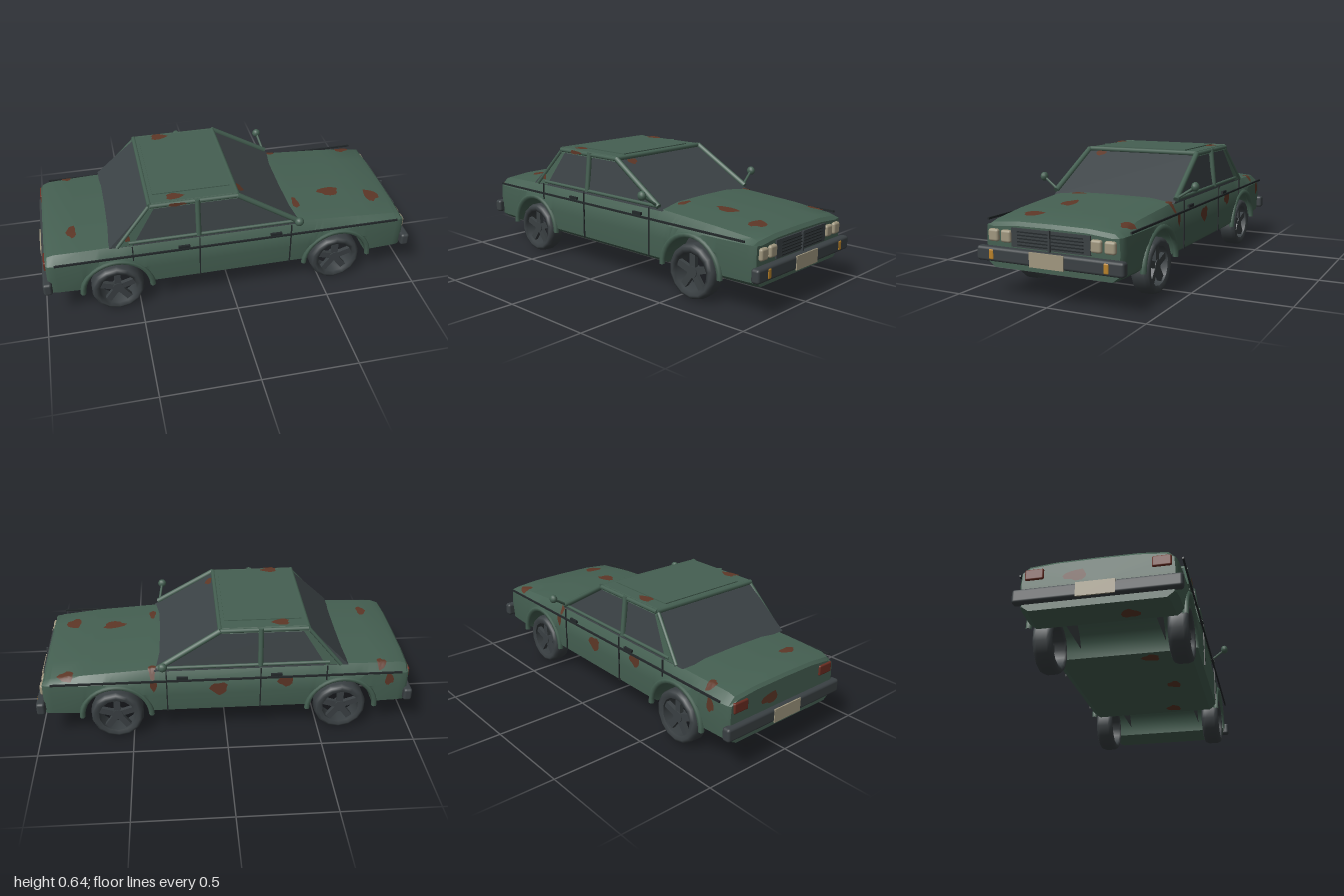
import * as THREE from 'three';
import { toCreasedNormals } from 'three/addons/utils/BufferGeometryUtils.js';
import { RoundedBoxGeometry } from 'three/addons/geometries/RoundedBoxGeometry.js';

const mat = (name, color, side = THREE.FrontSide) => {
  const m = new THREE.MeshStandardMaterial({ color, side });
  m.name = name;
  return m;
};
const V = (x, y, z) => new THREE.Vector3(x, y, z);
const AXLES = [-0.615, 0.58], AXLE_Y = 0.145, ARCH = 0.178, FLOOR = 0.15;

// Piecewise linear lookup in [key, value] pairs
function lookup(table, k) {
  if (k <= table[0][0]) return table[0][1];
  for (let i = 1; i < table.length; i++) {
    const [a, va] = table[i - 1], [b, vb] = table[i];
    if (k <= b) return va + (vb - va) * (k - a) / (b - a);
  }
  return table[table.length - 1][1];
}
const crest = [[-0.968, 0.385], [-0.955, 0.4], [-0.92, 0.412], [-0.6, 0.42], [-0.5, 0.43],
  [0.35, 0.43], [0.7, 0.408], [0.91, 0.388], [0.94, 0.378], [0.955, 0.36]];
const girth = [[-0.968, 0.94], [-0.955, 0.965], [-0.9, 0.985], [-0.7, 1], [0.7, 1], [0.88, 0.985], [0.94, 0.965], [0.955, 0.94]];
const topY = (x, z) => {
  const t = lookup(crest, x);
  return lookup([[0, t], [0.2, t - 0.002], [0.335, t - 0.014], [0.373, 0.35]], Math.abs(z));
};

// Body shell lofted along x, with wheel wells cut into the underside
function bodyGeometry() {
  const stations = crest.map(([x]) => [x, FLOOR]);
  for (const cx of AXLES) {
    for (let i = 0; i <= 14; i++) {
      const a = Math.PI * i / 14;
      stations.push([cx - ARCH * Math.cos(a), FLOOR + ARCH * Math.sin(a)]);
    }
  }
  // stations inside a well take the arch height
  const arch = (x, y) => {
    for (const cx of AXLES) {
      const d = Math.abs(x - cx);
      if (d < ARCH) return FLOOR + Math.sqrt(ARCH * ARCH - d * d);
    }
    return y;
  };
  stations.sort((a, b) => a[0] - b[0]);
  const pos = [], idx = [];
  let n = 0;
  for (const [x, y0] of stations) {
    const b = arch(x, y0), t = lookup(crest, x), w = lookup(girth, x);
    const half = [[0, b], [0.335, b], [0.37, Math.max(b + 0.002, 0.175)], [0.378, Math.max(b + 0.004, 0.28)],
      [0.373, 0.35], [0.335, t - 0.014], [0.2, t - 0.002], [0, t]];
    const ring = [...half, ...half.slice(1, -1).reverse().map(([z, y]) => [-z, y])];
    n = ring.length;
    for (const [z, y] of ring) pos.push(x, y, z * w);
  }
  const rows = stations.length;
  for (let i = 0; i < rows - 1; i++) for (let j = 0; j < n; j++) {
    const k = (j + 1) % n, a = i * n + j, b = a + n, c = (i + 1) * n + k, d = i * n + k;
    idx.push(a, b, c, a, c, d);
  }
  for (const [row, front] of [[0, false], [rows - 1, true]]) {
    const c = pos.length / 3;
    pos.push(stations[row][0], 0.27, 0);
    for (let j = 0; j < n; j++) {
      const a = row * n + j, b = row * n + (j + 1) % n;
      idx.push(c, front ? b : a, front ? a : b);
    }
  }
  const g = new THREE.BufferGeometry();
  g.setAttribute('position', new THREE.Float32BufferAttribute(pos, 3));
  g.setIndex(idx);
  return toCreasedNormals(g, 0.5);
}

// Box whose top and bottom rectangles differ: [x0, x1, halfWidth]
function taperedBox(y0, low, y1, high) {
  const g = new THREE.BoxGeometry(1, 1, 1), p = g.attributes.position;
  for (let i = 0; i < p.count; i++) {
    const up = p.getY(i) > 0, r = up ? high : low;
    p.setXYZ(i, p.getX(i) > 0 ? r[1] : r[0], up ? y1 : y0, Math.sign(p.getZ(i)) * r[2]);
  }
  g.computeVertexNormals();
  return g;
}

// Irregular patch laid on a surface given by place(u, v)
function patchGeometry(u, v, ru, rv, place) {
  const pos = [], idx = [], n = 12;
  pos.push(...place(u, v).toArray());
  for (let ring = 1; ring <= 2; ring++) for (let i = 0; i < n; i++) {
    const a = i / n * Math.PI * 2;
    const r = ring / 2 * (0.92 + 0.14 * Math.sin(3 * a + u * 17) + 0.08 * Math.cos(5 * a + v * 23));
    pos.push(...place(u + ru * r * Math.cos(a), v + rv * r * Math.sin(a)).toArray());
  }
  for (let i = 0; i < n; i++) {
    const a = 1 + i, b = 1 + (i + 1) % n;
    idx.push(0, a, b, a, a + n, b + n, a, b + n, b);
  }
  const g = new THREE.BufferGeometry();
  g.setAttribute('position', new THREE.Float32BufferAttribute(pos, 3));
  g.setIndex(idx);
  g.computeVertexNormals();
  return g;
}

export function createModel() {
  const car = new THREE.Group();
  car.name = 'sedan';
  const green = mat('green paint', 0x456052), glass = mat('dark glass', 0x3c4346),
    rubber = mat('dark grey', 0x3a4043, THREE.DoubleSide), black = mat('black trim', 0x23282a),
    beige = mat('beige', 0xa0977f), amber = mat('amber', 0xb98229), red = mat('tail red', 0x6a2d22),
    rust = mat('rust', 0x5e3727, THREE.DoubleSide), panel = mat('green panel', 0x456052, THREE.DoubleSide);
  const add = (name, geo, m, x = 0, y = 0, z = 0, parent = car) => {
    const mesh = new THREE.Mesh(geo, m);
    mesh.name = name;
    mesh.position.set(x, y, z);
    parent.add(mesh);
    return mesh;
  };
  const box = (name, m, x, y, z, w, h, d) => add(name, new THREE.BoxGeometry(w, h, d), m, x, y, z);
  const bar = (name, a, b, r, m = green) => {
    const dir = b.clone().sub(a), mid = a.clone().add(b).multiplyScalar(0.5);
    const mesh = add(name, new THREE.CylinderGeometry(r, r, dir.length(), 8), m, mid.x, mid.y, mid.z);
    mesh.quaternion.setFromUnitVectors(V(0, 1, 0), dir.normalize());
  };

  // Body and cabin
  add('body', bodyGeometry(), green);
  add('cabinGlass', taperedBox(0.41, [-0.64, 0.375, 0.352], 0.618, [-0.43, 0.04, 0.315]), glass);
  add('roof', taperedBox(0.612, [-0.425, 0.035, 0.332], 0.638, [-0.415, 0.025, 0.318]), green);
  bar('roofFrontBar', V(0.03, 0.628, -0.325), V(0.03, 0.628, 0.325), 0.013);
  bar('roofRearBar', V(-0.42, 0.628, -0.325), V(-0.42, 0.628, 0.325), 0.013);
  box('roofCrown', green, -0.195, 0.639, 0, 0.4, 0.008, 0.5);

  // Wheel parts shared by all four
  const tyre = new THREE.LatheGeometry([[0.098, -0.042], [0.118, -0.05], [0.132, -0.044], [0.14, -0.025],
    [0.14, 0.025], [0.132, 0.044], [0.118, 0.05], [0.098, 0.042], [0.098, -0.042]]
    .map(([r, y]) => new THREE.Vector2(r, y)), 14).rotateX(Math.PI / 2);
  const hub = new THREE.CylinderGeometry(0.03, 0.03, 0.04, 12).rotateX(Math.PI / 2);
  const spoke = new THREE.BoxGeometry(0.08, 0.034, 0.022).translate(0.062, 0, 0);
  const a0 = Math.asin(0.05 / ARCH), linerShape = new THREE.Shape();
  linerShape.absarc(0, 0, ARCH + 0.004, a0, Math.PI - a0, false);
  const liner = new THREE.ShapeGeometry(linerShape, 20);
  const flare = new THREE.TorusGeometry(0.183, 0.015, 6, 18, Math.PI);

  for (const s of [-1, 1]) {
    // Wheels, arches and liners
    for (const cx of AXLES) {
      const wheel = new THREE.Group();
      wheel.name = 'wheel';
      wheel.position.set(cx, AXLE_Y, s * 0.325);
      car.add(wheel);
      add('tyre', tyre, rubber, 0, 0, 0, wheel);
      add('hub', hub, rubber, 0, 0, s * 0.015, wheel);
      for (let i = 0; i < 5; i++) {
        add('spoke', spoke, rubber, 0, 0, s * 0.02, wheel).rotation.z = Math.PI / 2 + i * Math.PI * 0.4;
      }
      add('wheelLiner', liner, rubber, cx, FLOOR, s * 0.22);
      add('archFlare', flare, green, cx, FLOOR, s * 0.371);
    }
    // Pillars and window frames
    bar('frontPillar', V(0.355, 0.43, s * 0.352), V(0.03, 0.628, s * 0.328), 0.015);
    bar('centrePillar', V(-0.178, 0.425, s * 0.352), V(-0.178, 0.636, s * 0.33), 0.014);
    bar('roofRail', V(-0.42, 0.625, s * 0.325), V(0.03, 0.625, s * 0.325), 0.012);
    bar('sill', V(-0.54, 0.43, s * 0.35), V(0.35, 0.43, s * 0.35), 0.009);
    const onCabin = (x, y, out) => V(x, y, s * (0.352 - 0.037 * (y - 0.41) / 0.208 + out));
    const q = [[-0.6, 0.415], [-0.52, 0.415], [-0.39, 0.62], [-0.425, 0.62]].map(([x, y]) => onCabin(x, y, 0.005));
    const rear = new THREE.BufferGeometry().setFromPoints([q[0], q[1], q[2], q[0], q[2], q[3]]);
    rear.computeVertexNormals();
    add('rearPillar', rear, panel);
    bar('rearPillarEdge', q[0], q[3], 0.01);
    if (s > 0) add('pillarRust', patchGeometry(-0.545, 0.46, 0.015, 0.02, (x, y) => onCabin(x, y, 0.009)), rust);

    // Side trim, door seams and handles
    box('sideTrim', black, -0.008, 0.368, s * 0.383, 1.83, 0.01, 0.008);
    for (const [x, y0] of [[-0.525, 0.335], [-0.178, 0.175], [0.312, 0.175]]) {
      box('doorSeam', black, x, (y0 + 0.425) / 2, s * 0.379, 0.006, 0.425 - y0, 0.006);
    }
    for (const x of [-0.26, 0.23]) box('doorHandle', black, x, 0.383, s * 0.381, 0.06, 0.014, 0.012);

    // Door mirrors
    bar('mirrorArm', V(0.345, 0.437, s * 0.355), V(0.33, 0.49, s * 0.435), 0.007);
    add('mirror', new THREE.SphereGeometry(0.024, 12, 8), green, 0.328, 0.497, s * 0.444).scale.z = 0.85;

    // Lamps
    for (const z of [0.24, 0.31]) {
      add('headlamp', new RoundedBoxGeometry(0.03, 0.06, 0.056, 2, 0.012), beige, 0.958, 0.306, s * z);
    }
    add('indicator', new RoundedBoxGeometry(0.016, 0.05, 0.028, 2, 0.007), amber, 0.99, 0.22, s * 0.305);
    add('tailLamp', new RoundedBoxGeometry(0.02, 0.055, 0.09, 2, 0.008), red, -0.967, 0.335, s * 0.295);

    // Bumpers and number plates, one at each end
    add('bumper', new RoundedBoxGeometry(0.046, 0.07, 0.782, 2, 0.014), rubber, s * 0.972, 0.22, 0);
    box('numberPlate', beige, s * 0.996, 0.219, 0, 0.007, 0.07, 0.182);
  }

  // Grille
  box('grille', rubber, 0.956, 0.305, 0, 0.014, 0.09, 0.42);
  for (let i = 0; i < 5; i++) box('grilleSlat', black, 0.965, 0.272 + i * 0.0155, 0, 0.008, 0.005, 0.35);
  box('grilleBar', rubber, 0.968, 0.305, 0, 0.012, 0.1, 0.01);

  // Rust patches: [u, v, radiusU, radiusV]
  const patches = {
    upper: [(x, z) => V(x, topY(x, z) + 0.004, z), [[0.6, 0.115, 0.065, 0.042], [0.83, 0.175, 0.045, 0.055],
      [0.83, -0.325, 0.045, 0.035], [0.385, -0.335, 0.022, 0.033], [0.385, 0.195, 0.02, 0.05],
      [-0.82, 0.18, 0.027, 0.052], [-0.82, -0.332, 0.027, 0.03]]],
    roof: [(x, z) => V(x, 0.6445, z), [[-0.285, -0.285, 0.048, 0.032], [-0.29, 0.29, 0.048, 0.028]]],
    roofSide: [(x, y) => V(x, y, 0.3385), [[-0.285, 0.626, 0.05, 0.011]]],
    screen: [(x, z) => V(x, 0.618 - (x - 0.04) * 0.62 + 0.004, z), [[0.06, 0.24, 0.02, 0.035]]],
    side: [(x, y) => V(x, y, -0.3815), [[0.04, 0.31, 0.05, 0.042], [-0.31, 0.34, 0.045, 0.035],
      [-0.86, 0.325, 0.025, 0.04], [0.38, 0.34, 0.02, 0.035]]],
    floor: [(x, z) => V(x, 0.147, z), [[0.33, 0.13, 0.045, 0.045], [-0.02, 0.19, 0.045, 0.04],
      [-0.38, 0.13, 0.04, 0.05], [-0.86, 0.13, 0.04, 0.05]]],
    tail: [(z, y) => V(-0.971, y, z), [[-0.1, 0.31, 0.06, 0.03]]],
  };
  for (const [name, [place, list]] of Object.entries(patches)) {
    for (const p of list) add(name + 'Rust', patchGeometry(...p, place), rust);
  }
  return car;
}
